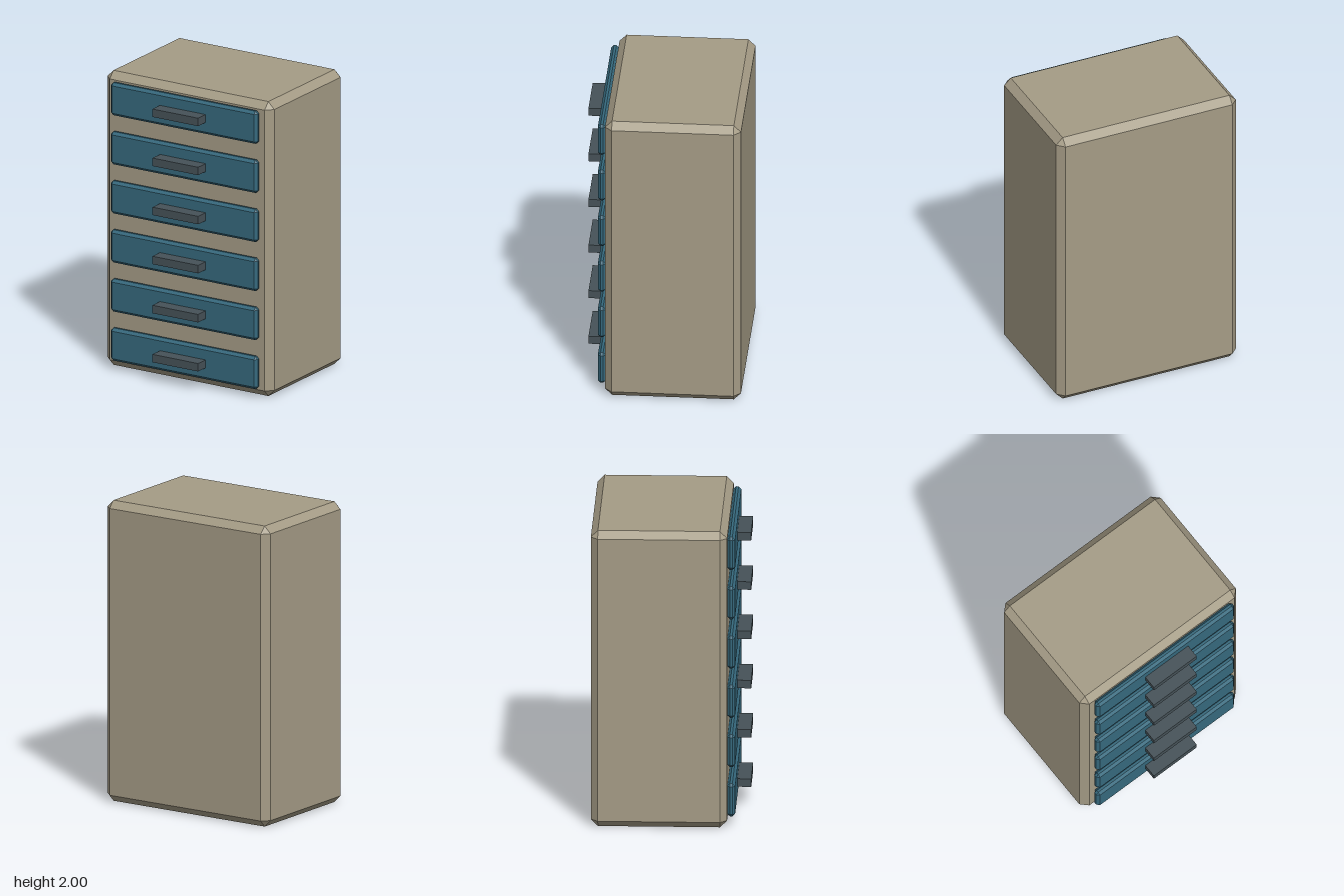
import * as THREE from 'three';
import { ConvexGeometry } from 'three/addons/geometries/ConvexGeometry.js';

// Box with a single flat bevel of size c on every edge and corner
function chamferBox(w, h, d, c) {
  const points = [];
  for (const sx of [-1, 1]) for (const sy of [-1, 1]) for (const sz of [-1, 1]) {
    const x = w / 2, y = h / 2, z = d / 2;
    points.push(
      new THREE.Vector3(sx * x, sy * (y - c), sz * (z - c)),
      new THREE.Vector3(sx * (x - c), sy * y, sz * (z - c)),
      new THREE.Vector3(sx * (x - c), sy * (y - c), sz * z)
    );
  }
  return new ConvexGeometry(points);
}

export function createModel() {
  const group = new THREE.Group();
  group.name = 'drawerCabinet';

  const material = (color) => new THREE.MeshStandardMaterial({ color });
  const bodyMat = material(0xa59c86);
  const drawerMat = material(0x36697d);
  const handleMat = material(0x465258);

  const add = (name, geometry, mat, y, z) => {
    const mesh = new THREE.Mesh(geometry, mat);
    mesh.name = name;
    mesh.position.set(0, y, z);
    group.add(mesh);
  };

  // Cabinet body
  add('cabinetBody', chamferBox(1.28, 2, 0.88, 0.046), bodyMat, 1, -0.07);

  // Six drawer fronts, each with a bar handle
  const drawerGeo = chamferBox(1.126, 0.222, 0.052, 0.018);
  const handleGeo = new THREE.BoxGeometry(0.35, 0.054, 0.092);
  for (let i = 0; i < 6; i++) {
    const y = 0.17 + i * 0.3333;
    add(`drawerFront${i + 1}`, drawerGeo, drawerMat, y, 0.394);
    add(`drawerHandle${i + 1}`, handleGeo, handleMat, y, 0.464);
  }

  return group;
}
